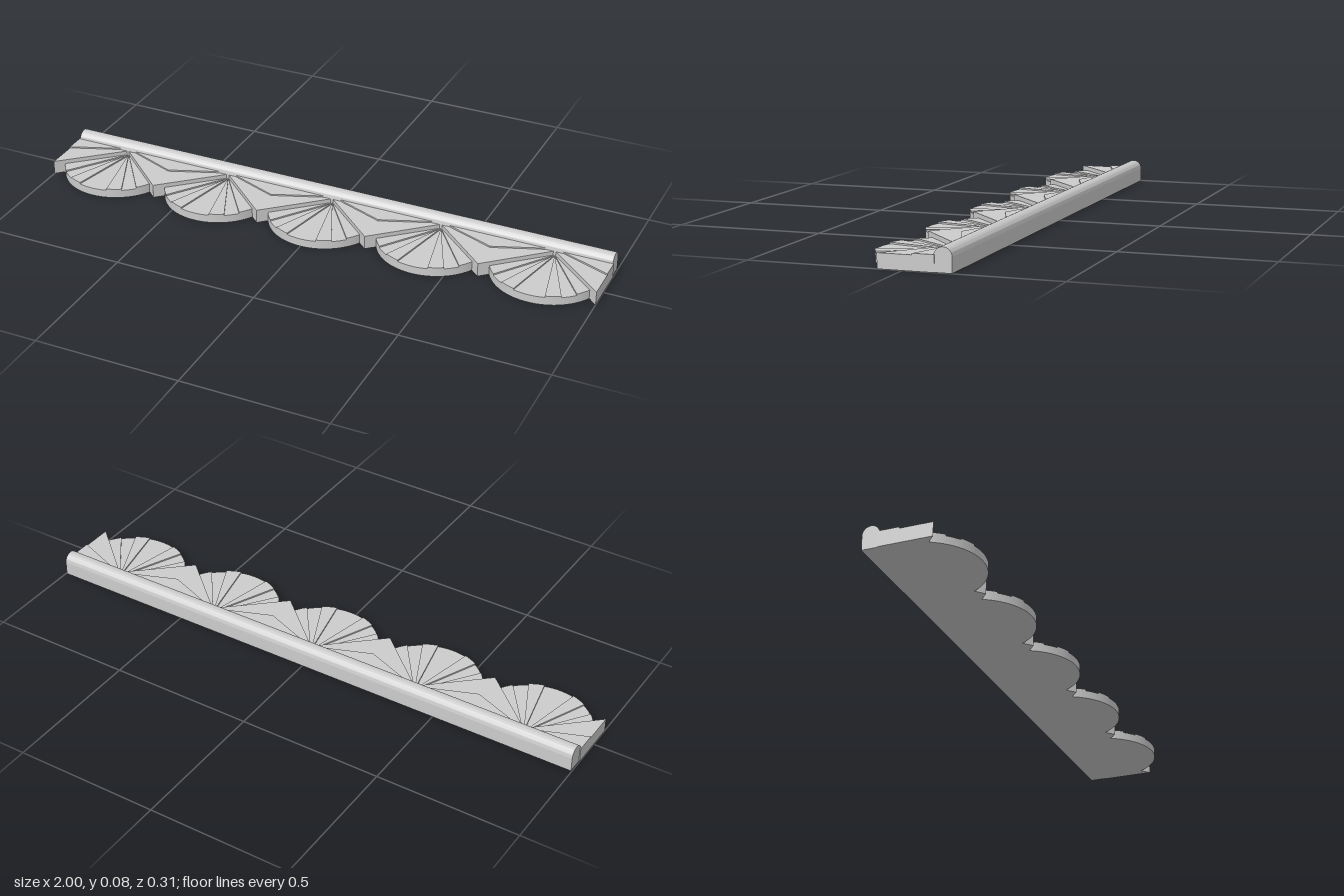
import * as THREE from 'three';
import { toCreasedNormals } from 'three/addons/utils/BufferGeometryUtils.js';

const material = new THREE.MeshStandardMaterial({ color: 0xcccccc });
const PITCH = 0.4, APEX_Z = -0.1, TIP_Z = 0.08;

// Upright slab from a plan outline of [x, z] points
function slab(name, points, height) {
  const shape = new THREE.Shape(points.map(([x, z]) => new THREE.Vector2(x, -z)));
  const geo = new THREE.ExtrudeGeometry(shape, { depth: height, bevelEnabled: false });
  geo.rotateX(-Math.PI / 2);
  const mesh = new THREE.Mesh(toCreasedNormals(geo, 0.5), material);
  mesh.name = name;
  return mesh;
}

// Rim point of the fan, seen from its apex at angle t
function rimPoint(t) {
  const r = 0.193, k = 0.062;
  const d = k * Math.cos(t) + Math.sqrt(r * r - (k * Math.sin(t)) ** 2);
  return [d * Math.sin(t), APEX_Z + d * Math.cos(t)];
}

// Shell fan of alternating high and low wedges
function createFan() {
  const fan = new THREE.Group();
  fan.name = 'fan';
  const half = Math.atan2(PITCH / 2, TIP_Z - APEX_Z);
  const step = half / 4, steps = 8;
  const wedges = [[-4, -3, 0.033], [-3, -2, 0.028], [-2, -1, 0.033], [-1, 1, 0.028],
    [1, 2, 0.033], [2, 3, 0.028], [3, 4, 0.033]];
  for (const [a, b, height] of wedges) {
    const points = [[0, APEX_Z]];
    for (let i = 0; i <= steps; i++) points.push(rimPoint((a + (b - a) * i / steps) * step));
    fan.add(slab('fanWedge', points, height));
  }
  return fan;
}

export function createModel() {
  const model = new THREE.Group();
  model.name = 'scallopedTrim';

  // Round-topped rail along the back
  const r = 0.029, profile = new THREE.Shape();
  profile.moveTo(-r, 0);
  profile.lineTo(r, 0);
  profile.lineTo(r, 0.048);
  profile.absarc(0, 0.048, r, 0, Math.PI, false);
  profile.lineTo(-r, 0);
  const railGeo = new THREE.ExtrudeGeometry(profile, { depth: 1.994, bevelEnabled: false, curveSegments: 20 });
  railGeo.translate(0, 0, -0.997);
  railGeo.rotateY(Math.PI / 2);
  railGeo.translate(0, 0, -0.125);
  const rail = new THREE.Mesh(toCreasedNormals(railGeo, 0.6), material);
  rail.name = 'backRail';
  model.add(rail);

  // Five fans
  for (let i = -2; i <= 2; i++) {
    const fan = createFan();
    fan.position.x = i * PITCH;
    model.add(fan);
  }

  // Pointed plates between the fans, cut in half at both ends, each with a raised panel
  for (let i = 0; i <= 5; i++) {
    const x = -1 + i * PITCH;
    const left = i === 0 ? 0 : 1, right = i === 5 ? 0 : 1;
    const outline = (w, back, tip) => {
      const points = [[x, tip]];
      if (right) points.push([x + w, back]);
      if (!right) points.push([x, back]);
      if (left) points.push([x - w, back]);
      if (!left) points.push([x, back]);
      return points;
    };
    model.add(slab('pointedPlate', outline(0.2, APEX_Z, TIP_Z), 0.048));
    model.add(slab('raisedPanel', outline(0.18, APEX_Z, -0.03), 0.053));
  }
  return model;
}
